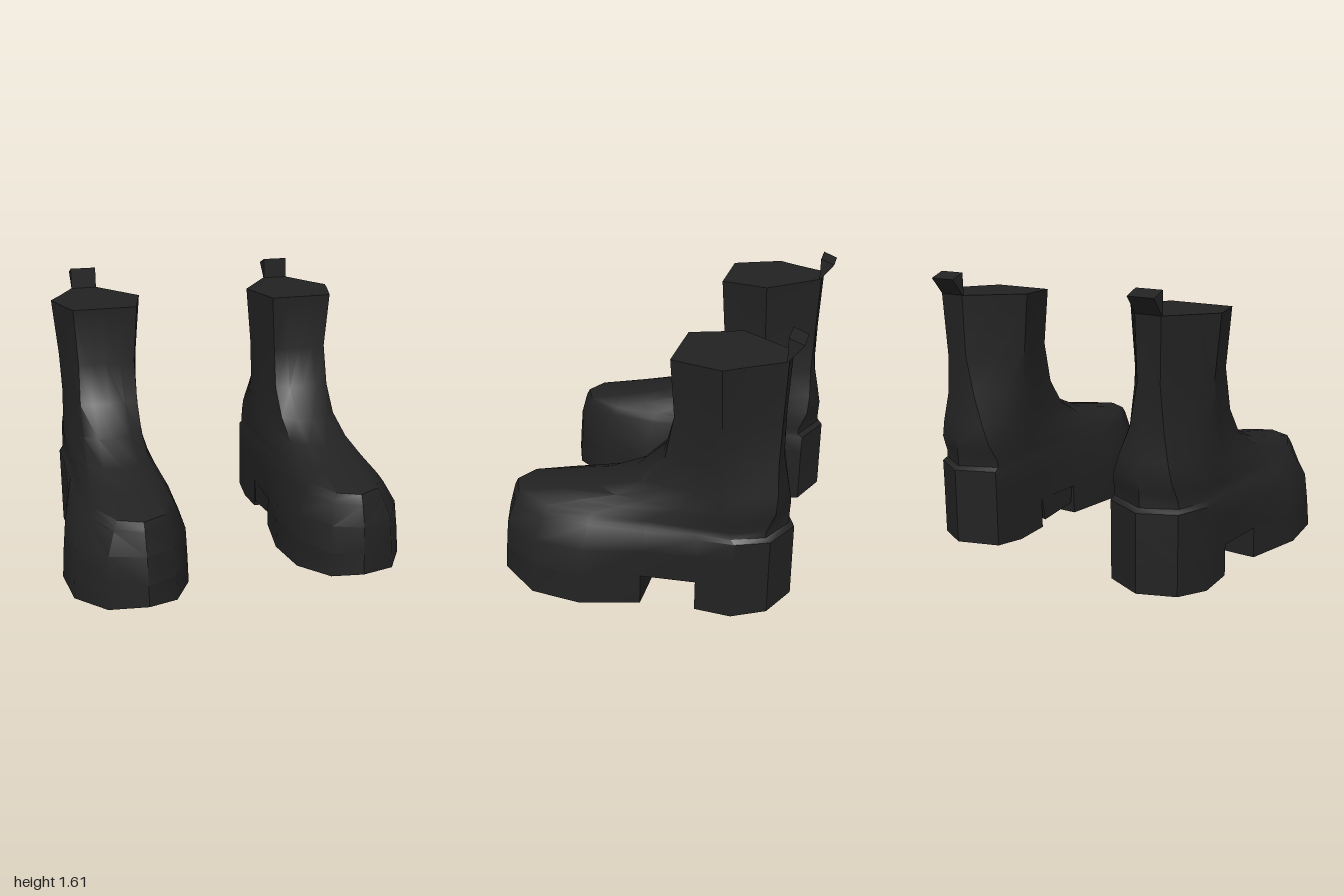
import * as THREE from 'three';
import { toCreasedNormals } from 'three/addons/utils/BufferGeometryUtils.js';

const V = (x, y, z) => new THREE.Vector3(x, y, z);
const { lerp } = THREE.MathUtils;
const MID = 0.62; // centre line of one boot

// Outline stations from toe centre (0) to heel centre (8):
// u runs front to back, out / inn are half widths as fractions
const FOOT = {
  u: [0, 0.04, 0.17, 0.335, 0.53, 0.71, 0.83, 0.94, 1],
  out: [0, 0.55, 0.94, 1, 1, 1, 1, 0.73, 0],
  inn: [0, 0.53, 0.91, 1, 1, 1, 1, 0.92, 0],
};
const SHAFT = {
  u: [0, 0, 0, 0.15, 0.33, 0.49, 0.68, 1, 1],
  out: [0, 0.35, 0.67, 0.78, 0.9, 1, 0.75, 0.37, 0],
  inn: [0, 0.35, 0.72, 0.8, 0.9, 1, 0.7, 0.19, 0],
};
const HEEL_WEIGHT = [0, 0, 0, 0, 0.8, 1, 1, 1, 1];

// One horizontal ring; k blends the foot outline into the shaft outline
function ring([y, front, back, footIn, footOut, heelIn, heelOut, k], from = 0, to = 8, yAt = () => y) {
  const outer = [], inner = [];
  for (let i = from; i <= to; i++) {
    const mix = (key) => lerp(FOOT[key][i], SHAFT[key][i], k);
    const w = HEEL_WEIGHT[i], z = lerp(front, back, mix('u'));
    outer.push(V(MID + mix('out') * lerp(footOut, heelOut, w), yAt(i), z));
    if (i > 0 && i < 8) inner.push(V(MID - mix('inn') * lerp(footIn, heelIn, w), yAt(i), z));
  }
  return [...outer, ...inner.reverse()];
}

// Joins rings into a closed skin; side = -1 mirrors it
function loft(rings, side, crease = 0.7) {
  const n = rings[0].length, pts = rings.flat(), index = [];
  const tri = (a, b, c) => (side > 0 ? index.push(a, b, c) : index.push(a, c, b));
  for (let r = 0; r < rings.length - 1; r++) {
    for (let i = 0; i < n; i++) {
      const a = r * n + i, b = r * n + (i + 1) % n;
      tri(a, b, b + n);
      tri(a, b + n, a + n);
    }
  }
  const cap = (r, flip) => {
    const c = pts.length;
    pts.push(rings[r].reduce((s, p) => s.add(p), V(0, 0, 0)).divideScalar(n));
    for (let i = 0; i < n; i++) {
      const a = r * n + i, b = r * n + (i + 1) % n;
      if (flip) tri(c, b, a); else tri(c, a, b);
    }
  };
  cap(0, true);
  cap(rings.length - 1, false);
  const g = new THREE.BufferGeometry().setFromPoints(pts.map((p) => V(p.x * side, p.y, p.z)));
  g.setIndex(index);
  return toCreasedNormals(g, crease);
}

// Rows: y, front z, back z, foot half widths in/out, heel half widths in/out, k
const BASE = [0, 0.85, -0.84, 0.32, 0.38, 0.24, 0.26, 0];
const SEAM = [0.2, 0.84, -0.84, 0.316, 0.367, 0.24, 0.26, 0];
const UPPER = [
  SEAM,
  [0.36, 0.825, -0.84, 0.31, 0.35, 0.24, 0.26, 0],
  [0.48, 0.79, -0.84, 0.265, 0.28, 0.24, 0.26, 0],
  [0.5, 0.783, -0.81, 0.258, 0.265, 0.235, 0.245, 0],
  [0.535, 0.765, -0.81, 0.24, 0.24, 0.235, 0.24, 0],
  [0.585, 0.53, -0.812, 0.22, 0.22, 0.235, 0.24, 0.06],
  [0.64, 0.27, -0.815, 0.2, 0.21, 0.235, 0.24, 0.15],
  [0.74, 0.04, -0.797, 0.205, 0.205, 0.235, 0.235, 0.35],
  [0.9, -0.13, -0.765, 0.225, 0.225, 0.23, 0.23, 0.7],
  [1.14, -0.21, -0.76, 0.24, 0.24, 0.24, 0.24, 1],
];
const TOP = [1.467, -0.195, -0.775, 0.27, 0.27, 0.27, 0.27, 1];
const BOTTOM_Y = [0.08, 0.06, 0.035, 0.028, 0.02, 0.02, 0.01, 0.03, 0.04];

export function createModel() {
  const leather = new THREE.MeshStandardMaterial({ color: 0x222222 });
  leather.name = 'black leather';
  const model = new THREE.Group();
  model.name = 'boots';

  for (const side of [1, -1]) {
    const boot = new THREE.Group();
    boot.name = side > 0 ? 'leftBoot' : 'rightBoot';
    const add = (name, geometry) => {
      const mesh = new THREE.Mesh(geometry, leather);
      mesh.name = name;
      boot.add(mesh);
      return mesh;
    };

    // Foot and shaft, closed by a slightly tilted top
    const top = ring(TOP, 0, 8, (i) => 1.467 + 0.018 * SHAFT.u[i]);
    add('upper', loft([...UPPER.map((row) => ring(row)), top], side));

    // Platform sole with a lifted toe, and separate heel block
    const bottomY = (i) => BOTTOM_Y[i];
    const soleBase = ring(BASE, 0, 4, bottomY);
    const soleTread = soleBase.map((p) => V(lerp(MID, p.x, 0.62), 0.003, lerp(0.33, p.z, 0.66)));
    soleTread.forEach((p, i) => { if (i === 4 || i === 5) p.set(soleBase[i].x * 0.6 + MID * 0.4, 0.018, soleBase[i].z); });
    add('sole', loft([soleTread, soleBase, ring(SEAM, 0, 4)], side));
    add('heel', loft([ring(BASE, 5, 8, bottomY), ring(SEAM, 5, 8)], side));

    // Arch under the instep, sloping down to the inner side
    const archLow = [V(0.88, 0.2, -0.045), V(0.88, 0.2, -0.35), V(0.38, 0.06, -0.325), V(0.38, 0.088, -0.06)];
    const archHigh = [V(0.88, 0.21, -0.045), V(0.88, 0.21, -0.35), V(0.38, 0.21, -0.35), V(0.38, 0.21, -0.045)];
    add('arch', loft([archLow, archHigh], side, 0.3));

    // Wedge-shaped pull tab at the back of the shaft
    const wedge = new THREE.Shape([
      new THREE.Vector2(0.763, 1.475), new THREE.Vector2(0.845, 1.578), new THREE.Vector2(0.765, 1.61),
    ]);
    const tab = add('pullTab', new THREE.ExtrudeGeometry(wedge, { depth: 0.155, bevelEnabled: false }));
    tab.rotation.y = Math.PI / 2; // shape x becomes -z, depth becomes +x
    tab.position.x = side * 0.645 - 0.0775;

    model.add(boot);
  }
  return model;
}
